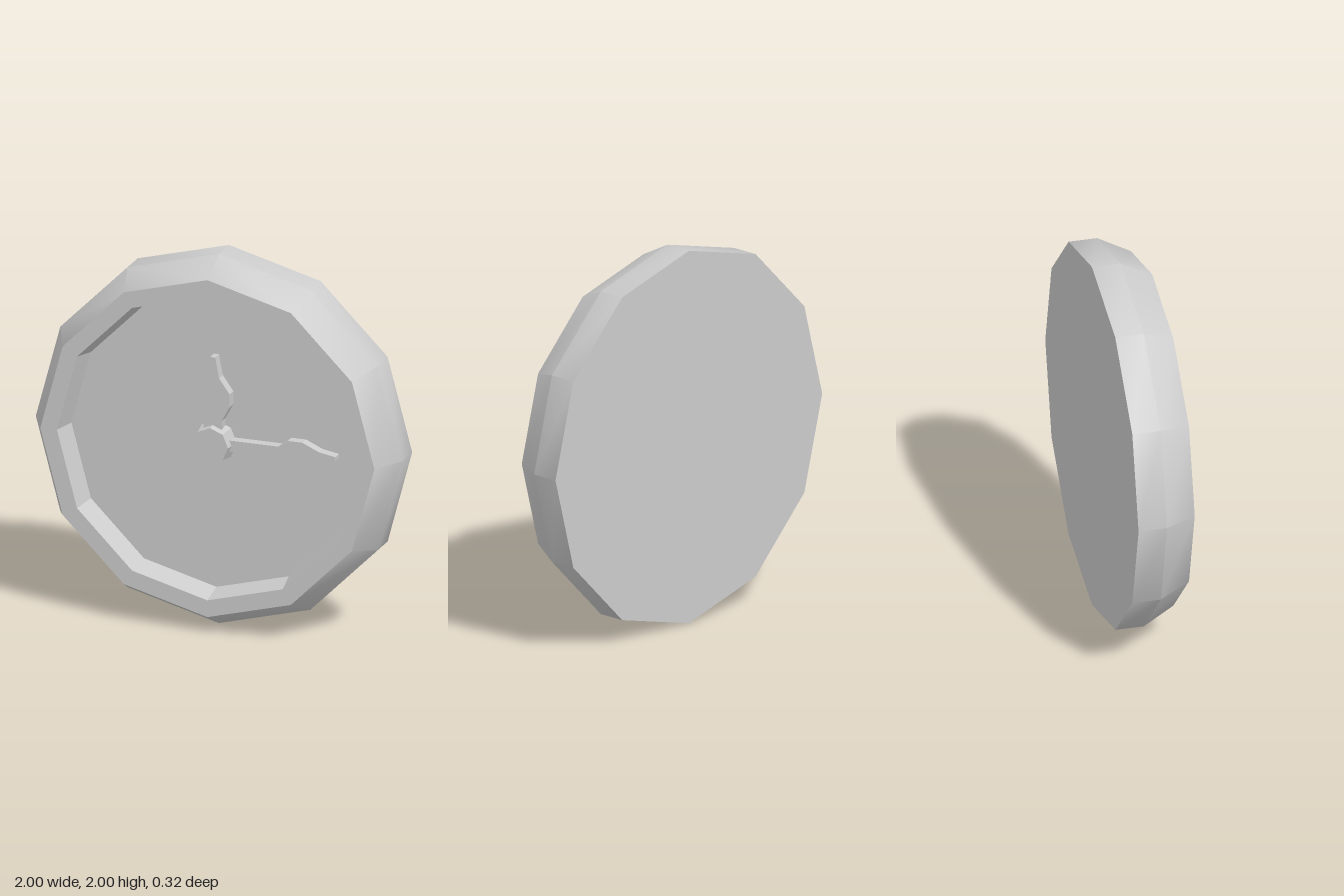
import * as THREE from 'three';
import { toCreasedNormals } from 'three/addons/utils/BufferGeometryUtils.js';

const SIDES = 12;
const FACE_Z = 0.025;

export function createModel() {
  const clock = new THREE.Group();
  clock.name = 'wallClock';
  const smooth = new THREE.MeshStandardMaterial({ color: 0xcccccc });
  const flat = new THREE.MeshStandardMaterial({ color: 0xcccccc, flatShading: true });

  const add = (name, geometry, material) => {
    const mesh = new THREE.Mesh(geometry, material);
    mesh.name = name;
    mesh.position.y = 1;
    clock.add(mesh);
    return mesh;
  };

  // Profile of [radius, z] pairs turned around the z axis
  const turned = (profile) =>
    new THREE.LatheGeometry(profile.map(([r, z]) => new THREE.Vector2(r, z)), SIDES).rotateX(Math.PI / 2);

  // Back, side wall and sloping bezel
  const shell = turned([[0, -0.16], [1, -0.16], [1, -0.01], [0.913, 0.157]]);
  add('casing', toCreasedNormals(shell, 0.53), smooth);

  // Front rim with its tapering inner wall, and the sunken dial
  add('rim', turned([[0.913, 0.157], [0.822, 0.157], [0.792, FACE_Z]]), flat);
  add('dial', turned([[0.792, FACE_Z], [0, FACE_Z]]), flat);

  // Hub in the middle
  const hubDepth = 0.09;
  const hub = new THREE.CylinderGeometry(0.097, 0.112, hubDepth, 8).rotateX(Math.PI / 2);
  add('hub', hub.translate(0, 0, FACE_Z + hubDepth / 2), flat);

  // Hands: half outline as [half width, distance], mirrored and extruded
  const hand = (name, half, angle) => {
    const right = half.map(([w, d]) => new THREE.Vector2(w, d));
    const left = half.map(([w, d]) => new THREE.Vector2(-w, d)).reverse();
    const geometry = new THREE.ExtrudeGeometry(new THREE.Shape([...right, ...left]), {
      depth: 0.055,
      bevelEnabled: false,
    });
    geometry.translate(0, 0, FACE_Z);
    add(name, geometry, flat).rotation.z = angle;
  };
  hand('hourHand',
    [[0.05, 0.03], [0.05, 0.13], [0.093, 0.21], [0.093, 0.28], [0.035, 0.36], [0.014, 0.47]], 0);
  hand('minuteHand',
    [[0.03, 0.03], [0.03, 0.36], [0.067, 0.41], [0.067, 0.49], [0.027, 0.58], [0.011, 0.67]], -Math.PI / 2);

  return clock;
}
